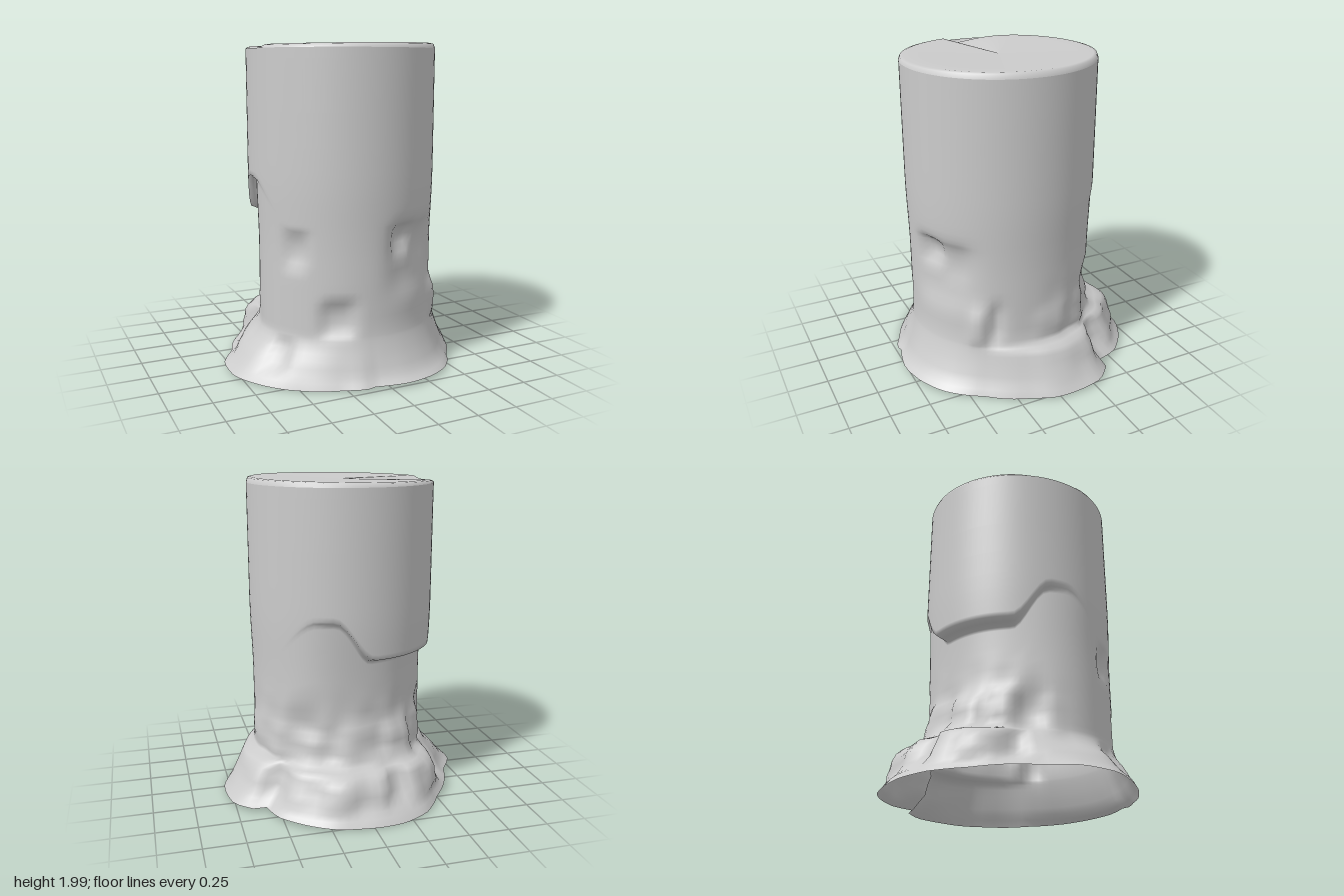
import * as THREE from 'three';

const DEG = Math.PI / 180, SEG = 96, CX = -0.007, CZ = 0.042;
const { smoothstep } = THREE.MathUtils;

// Ragged outline of the foot, x and z pairs, anticlockwise from the front
const FOOT = [[0.11, 0.77], [0.28, 0.73], [0.43, 0.64], [0.58, 0.42], [0.72, 0.17], [0.785, 0.02], [0.76, -0.3],
  [0.65, -0.41], [0.58, -0.4], [0.53, -0.55], [0.4, -0.67], [0.23, -0.76], [0.08, -0.78], [-0.19, -0.77],
  [-0.36, -0.69], [-0.5, -0.51], [-0.68, -0.17], [-0.785, 0], [-0.785, 0.22], [-0.68, 0.39], [-0.5, 0.56],
  [-0.28, 0.68], [-0.15, 0.74], [-0.12, 0.72]]
  .map(([x, z]) => [(Math.atan2(x - CX, z - CZ) / DEG + 360) % 360, Math.hypot(x - CX, z - CZ)])
  .sort((p, q) => p[0] - q[0]);

// Linear lookup in sorted [key, value] pairs
function lookup(table, k) {
  for (let i = 1; i < table.length; i++) {
    const [a, u] = table[i - 1], [b, v] = table[i];
    if (k <= b) return u + (v - u) * Math.max(0, (k - a) / (b - a || 1));
  }
  return table[table.length - 1][1];
}
const last = FOOT[FOOT.length - 1];
const footRadius = [[last[0] - 360, last[1]], ...FOOT, [FOOT[0][0] + 360, FOOT[0][1]]];

// How far the foot spreads at each height, every 45 degrees from the front
const FLARE_Y = [0.02, 0.08, 0.15, 0.22, 0.27, 0.3, 0.36, 0.5];
const SMOOTH = [1, 0.62, 0.4, 0.22, 0.12, 0.07, 0.02, 0];
const LEDGE = [1, 0.8, 0.64, 0.5, 0.38, 0.06, 0, 0];
const RUBBLE = [1, 0.82, 0.74, 0.68, 0.56, 0.28, 0.08, 0];
const LOW = [1, 0.74, 0.5, 0.15, 0.03, 0, 0, 0];
const FLARE = [SMOOTH, SMOOTH, LEDGE, LEDGE, RUBBLE, RUBBLE, LOW, LOW];
function flare(a, y) {
  const q = a / 45, i = Math.floor(q) % 8, f = q - Math.floor(q);
  const at = (row) => lookup(FLARE_Y.map((h, k) => [h, row[k]]), y);
  return at(FLARE[i]) * (1 - f) + at(FLARE[(i + 1) % 8]) * f;
}

// Dents (-) and lumps (+): angle, height, angular reach, vertical reach, depth
const DAMAGE = [
  [28, 0.74, 22, 0.2, -0.035], [17, 0.86, 9, 0.085, -0.05], [36, 0.82, 10, 0.12, -0.02],
  [334, 0.4, 10, 0.1, -0.045], [308, 0.8, 8, 0.1, -0.035],
  [52, 0.42, 6, 0.12, 0.035], [62, 0.45, 5, 0.12, -0.03],
  [100, 0.42, 12, 0.1, 0.02], [120, 0.4, 8, 0.1, 0.02], [142, 0.55, 12, 0.1, -0.03],
  [176, 0.43, 14, 0.11, 0.035], [208, 0.42, 12, 0.12, 0.05], [232, 0.45, 9, 0.1, 0.04],
  [250, 0.4, 10, 0.13, -0.03],
  [165, 0.2, 9, 0.1, 0.03], [195, 0.2, 6, 0.1, -0.06], [222, 0.17, 7, 0.09, 0.04],
  [240, 0.17, 6, 0.1, -0.06], [130, 0.18, 8, 0.1, -0.04], [300, 0.15, 7, 0.09, -0.04],
];
const angleGap = (a, b) => ((a - b + 540) % 360) - 180;
const softBox = (d) => Math.exp(-(d ** 4));

// Lip of the broken layer at the back climbs towards its ends
const BACK = 212;
function lipRise(a) {
  const d = Math.abs(angleGap(a, BACK));
  return 0.24 * smoothstep(d, 26, 50) * (1 - smoothstep(d, 60, 95));
}
// Rings bend to follow the lip
const ringY = (a, y) =>
  y + lipRise(a) * smoothstep(y, 0.55, 0.925) * (1 - smoothstep(y, 0.965, 1.6));

// Radius of the side wall at an angle (degrees) and height
function wallRadius(a, y) {
  const s = Math.sin(a * DEG), c = Math.cos(a * DEG);
  let r = 1 / Math.hypot(s / 0.58, c / 0.597);
  r -= 0.012 * (1 - smoothstep(y, 0.75, 1.25));
  const lip = 0.945 + lipRise(a);
  const under = 1 - smoothstep(y, lip - 0.015, lip + 0.015);
  r -= 0.085 * under * softBox(angleGap(a, BACK) / 54);
  r += (lookup(footRadius, a) - r) * flare(a, y);
  const keep = Math.min(1, Math.max(0, (y - 0.03) / 0.08));
  for (const [da, dy, wa, wy, amount] of DAMAGE)
    r += keep * amount * softBox(angleGap(a, da) / wa) * softBox((y - dy) / wy);
  // Small roughness low on the back
  const rough = keep * (1 - smoothstep(y, 0.4, 0.8)) * smoothstep(-c, -0.2, 0.5);
  return r + rough * 0.012 * Math.sin(a * DEG * 11 + y * 17) * Math.cos(a * DEG * 5 - y * 23);
}

// Skin a list of closed rings; each ring maps an angle to [x, y, z]
function skin(rings, name, material) {
  const pos = [], index = [], n = SEG;
  for (const ring of rings)
    for (let i = 0; i < n; i++) pos.push(...ring((i * 360) / n));
  for (let k = 0; k < rings.length - 1; k++)
    for (let i = 0; i < n; i++) {
      const j = (i + 1) % n, a = k * n + i, b = k * n + j, c = a + n, d = b + n;
      index.push(a, b, d, a, d, c);
    }
  const g = new THREE.BufferGeometry();
  g.setAttribute('position', new THREE.Float32BufferAttribute(pos, 3));
  g.setIndex(index);
  g.computeVertexNormals();
  const mesh = new THREE.Mesh(g, material);
  mesh.name = name;
  return mesh;
}
const point = (a, r, y) => [CX + r * Math.sin(a * DEG), y, CZ + r * Math.cos(a * DEG)];
const footY = (a) => 0.02 + 0.012 * Math.sin(a * DEG * 3 + 1);

// Top face: gentle tilt, and a sunken wedge that ends in a sharp crack
function topY(a, f) {
  const d = angleGap(a, 282);
  const sunk = d < 0 ? 0.04 * Math.exp(-((d / 26) ** 2)) * Math.min(1, f * 2) : 0;
  return 1.988 + 0.007 * Math.sin(a * DEG) * f - sunk - 0.012 * (1 - f);
}

export function createModel() {
  const group = new THREE.Group();
  group.name = 'brokenColumn';
  const material = new THREE.MeshStandardMaterial({ color: 0xcccccc, side: THREE.DoubleSide });

  // Hollow shaft and spreading foot, open below
  const heights = [0.02, 0.05, 0.08, 0.12, 0.16, 0.2, 0.24, 0.27, 0.285, 0.3, 0.33, 0.37, 0.41, 0.45, 0.49,
    0.53, 0.57, 0.62, 0.67, 0.72, 0.77, 0.82, 0.87, 0.91, 0.93, 0.945, 0.96, 0.99, 1.03, 1.08, 1.15, 1.25,
    1.4, 1.6, 1.9, 1.96];
  const wall = heights.map((h, k) => (a) => {
    const y = ringY(a, h);
    return point(a, wallRadius(a, y), k ? y : footY(a));
  });
  group.add(skin(wall, 'shaftAndFoot', material));

  // Rounded rim and cracked top
  const cap = [(a) => point(a, wallRadius(a, 1.96), 1.96)];
  for (const f of [0.985, 0.95, 0.8, 0.6, 0.4, 0.2, 0])
    cap.push((a) => point(a, wallRadius(a, 1.96) * f, topY(a, f) - (f > 0.98 ? 0.006 : 0)));
  group.add(skin(cap, 'top', material));
  return group;
}
